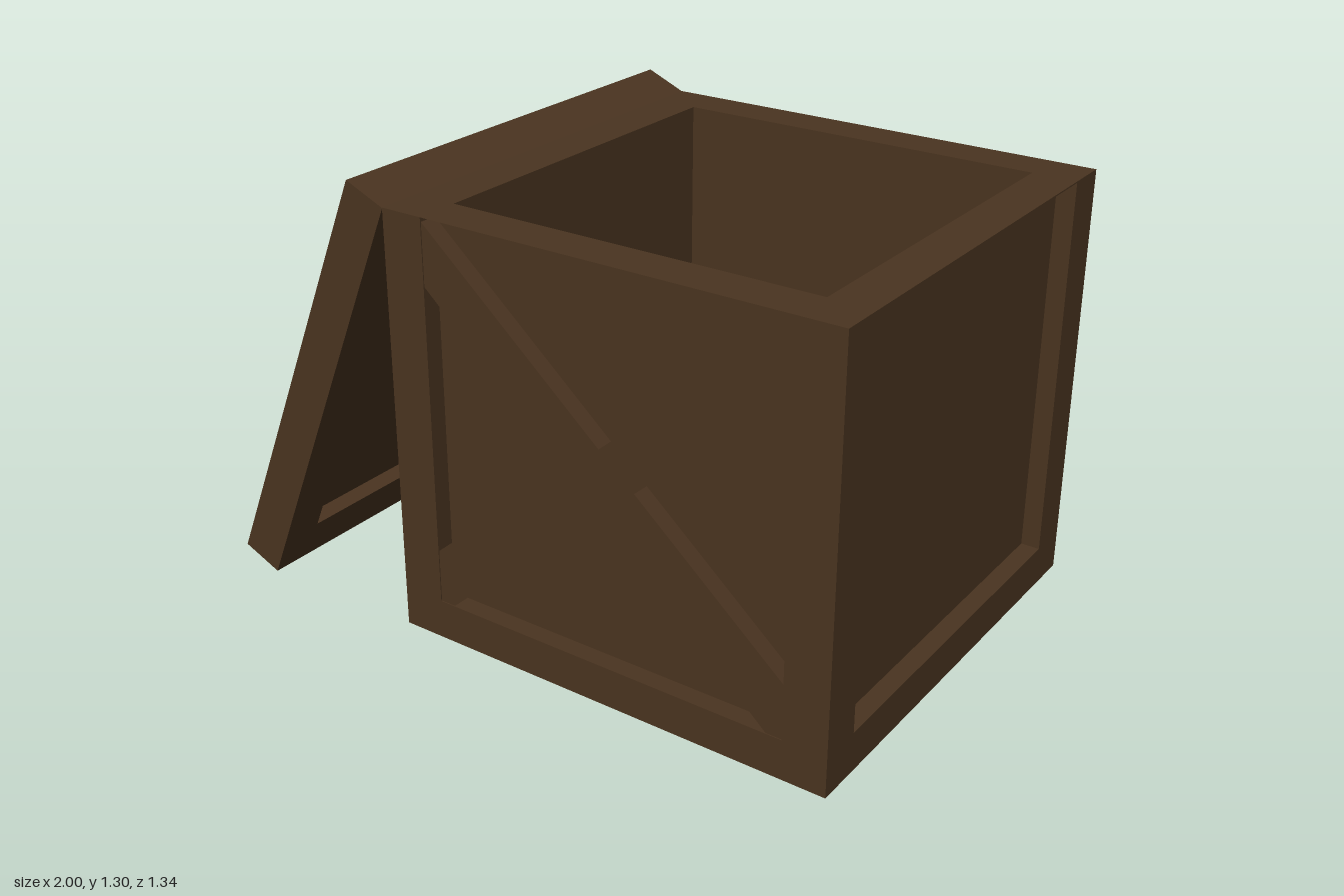
import * as THREE from 'three';

const wood = new THREE.MeshStandardMaterial({ color: 0x4a3420, flatShading: true });

function box(parent, name, [x0, x1], [y0, y1], [z0, z1]) {
  const mesh = new THREE.Mesh(new THREE.BoxGeometry(x1 - x0, y1 - y0, z1 - z0), wood);
  mesh.name = name;
  mesh.position.set((x0 + x1) / 2, (y0 + y1) / 2, (z0 + z1) / 2);
  parent.add(mesh);
}

function extrude(points, depth) {
  const shape = new THREE.Shape(points.map(([x, y]) => new THREE.Vector2(x, y)));
  return new THREE.ExtrudeGeometry(shape, { depth, bevelEnabled: false });
}

export function createModel() {
  const model = new THREE.Group();

  // Crate, built around its own vertical axis
  const crate = new THREE.Group();
  crate.name = 'crate';
  crate.position.x = 0.325;
  model.add(crate);
  const X = 0.675, Z = 0.672, Y0 = 0.017, Y1 = 1.248;
  const W = 0.128;      // width of posts and rails
  const D = 0.055;      // depth of the recessed panels
  const IX = X - W, IZ = Z - W, RY = 0.133;

  const range = (s, a, b) => (s > 0 ? [a, b] : [-b, -a]);
  for (const s of [-1, 1]) {
    for (const t of [-1, 1]) box(crate, 'cornerPost', range(s, IX, X), [Y0, Y1], range(t, IZ, Z));
    box(crate, 'sideRail', range(s, IX, X), [Y0, RY], [-IZ, IZ]);
    box(crate, 'endRail', [-IX, IX], [Y0, RY], range(s, IZ, Z));
    box(crate, 'sidePanel', range(s, IX, X - D), [RY, Y1], [-IZ, IZ]);
    box(crate, 'endPanel', [-IX, IX], [RY, Y1], range(s, IZ, Z - D));
    box(crate, 'sideRim', range(s, X - D, X), [Y1 - 0.004, Y1], [-IZ, IZ]);
  }
  box(crate, 'floorPanel', [-IX, IX], [Y0 + D, RY], [-IZ, IZ]);

  // Crossed braces and tapered rim on the front and back
  const cross = [
    [-IX, 0.29], [-IX, RY], [-0.5, RY], [0, 0.58], [0.5, RY], [IX, RY], [IX, 0.29],
    [0.107, 0.67], [IX, 1.06], [IX, 1.235], [0, 0.76], [-IX, 1.235], [-IX, 1.06], [-0.107, 0.67],
  ];
  const braceGeometry = extrude(cross, D - 0.003);
  braceGeometry.translate(0, 0, Z - D);
  const rimGeometry = extrude([[-Z, Y1], [-Z + D, Y1 - 0.015], [-Z + D, Y1]], 2 * IX);
  rimGeometry.rotateY(Math.PI / 2);
  rimGeometry.translate(-IX, 0, 0);
  for (const turn of [0, Math.PI]) {
    const brace = new THREE.Mesh(braceGeometry, wood);
    brace.name = 'crossBrace';
    brace.rotation.y = turn;
    const rim = new THREE.Mesh(rimGeometry, wood);
    rim.name = 'endRim';
    rim.rotation.y = turn;
    crate.add(brace, rim);
  }

  // Lid leaning on the crate: local y runs up the slope, local x through its thickness
  const lid = new THREE.Group();
  lid.name = 'lid';
  lid.position.set(-0.878, 0.002, 0);
  lid.rotation.z = -Math.atan2(0.528, 1.243);
  const L = 1.352, T = 0.132;
  for (const s of [-1, 1]) box(lid, 'lidSideRail', [-T, 0], [0, L], range(s, IZ, Z));
  box(lid, 'lidBottomRail', [-T, 0], [0, W], [-IZ, IZ]);
  box(lid, 'lidTopRail', [-T, 0], [L - W, L], [-IZ, IZ]);
  box(lid, 'lidPanel', [-T + 0.045, -0.045], [W, L - W], [-IZ, IZ]);
  model.add(lid);

  return model;
}
